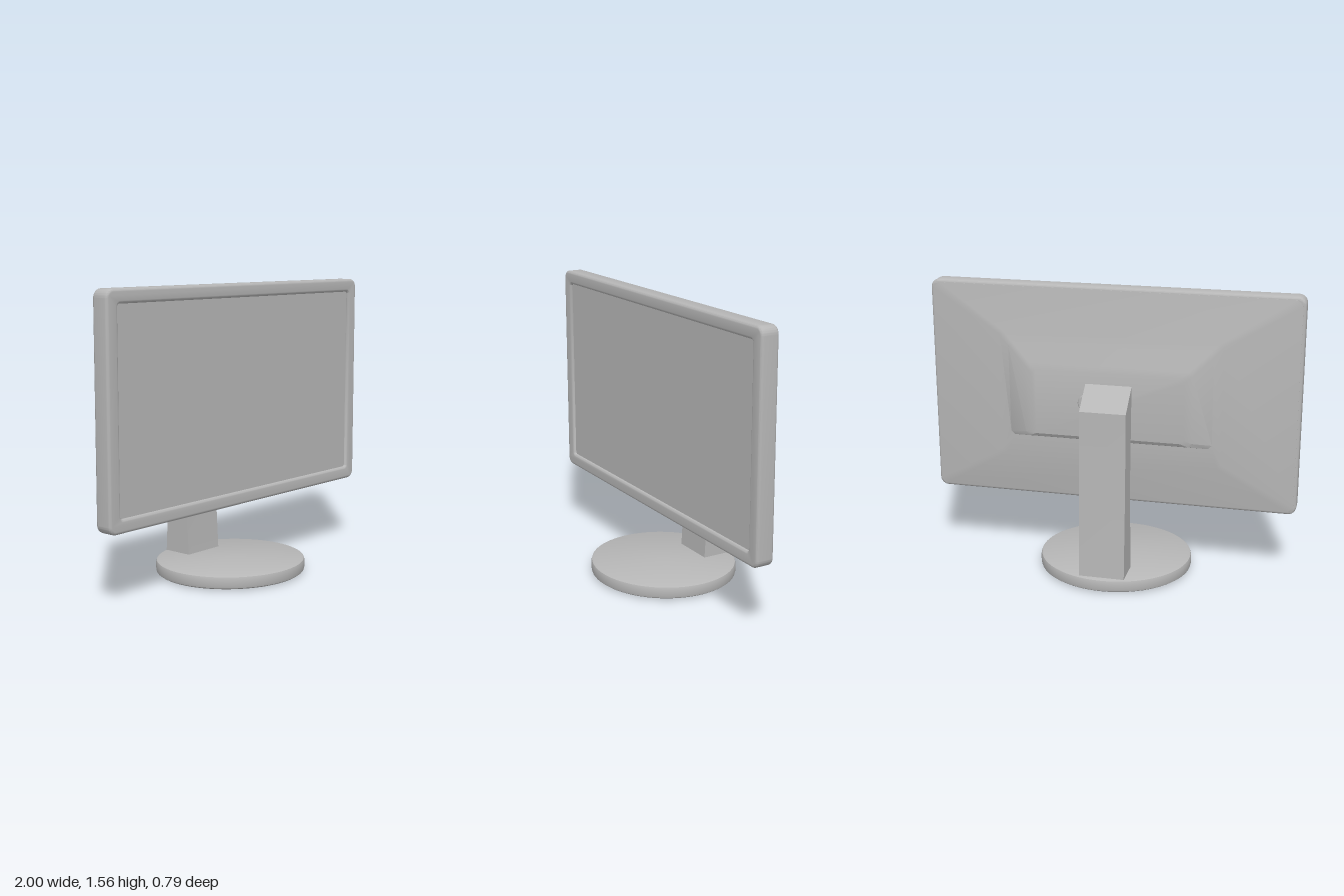
import * as THREE from 'three';
import { toCreasedNormals } from 'three/addons/utils/BufferGeometryUtils.js';

const grey = new THREE.MeshStandardMaterial({ color: 0xb6b6b6 });
grey.name = 'plain grey';

function part(name, geometry, crease = 0.6) {
  const mesh = new THREE.Mesh(toCreasedNormals(geometry, crease), grey);
  mesh.name = name;
  return mesh;
}

// Rounded rectangle centred on the origin
function roundedRect(Type, w, h, r) {
  const s = new Type(), x = w / 2, y = h / 2;
  s.moveTo(-x + r, -y);
  s.lineTo(x - r, -y);
  s.absarc(x - r, -y + r, r, -Math.PI / 2, 0);
  s.lineTo(x, y - r);
  s.absarc(x - r, y - r, r, 0, Math.PI / 2);
  s.lineTo(-x + r, y);
  s.absarc(-x + r, y - r, r, Math.PI / 2, Math.PI);
  s.lineTo(-x, -y + r);
  s.absarc(-x + r, -y + r, r, Math.PI, Math.PI * 1.5);
  return s;
}

// Bezel with a softly rounded rim around the screen opening
function bezelGeometry() {
  const b = 0.015;
  const shape = roundedRect(THREE.Shape, 2 - 2 * b, 1.18 - 2 * b, 0.03);
  shape.holes.push(roundedRect(THREE.Path, 1.85 + 2 * b, 1.035 + 2 * b, 0.03));
  const g = new THREE.ExtrudeGeometry(shape, {
    depth: 0.1 - 2 * b, bevelThickness: b, bevelSize: b, bevelSegments: 4, curveSegments: 6,
  });
  return g.translate(0, 0.97, -0.01 + b);
}

// Stepped back cover lofted through cut-corner rectangles
function backGeometry() {
  // half width, bottom, top, z at bottom, z at top, corner cut
  const rings = [
    [0.985, 0.395, 1.545, 0.0, 0.0, 0.03],
    [0.985, 0.395, 1.545, -0.012, -0.012, 0.03],
    [0.60, 0.63, 1.31, -0.066, -0.07, 0.02],
    [0.55, 0.738, 1.26, -0.07, -0.085, 0.02],
    [0.45, 0.757, 1.165, -0.12, -0.12, 0.02],
    [0.41, 0.775, 1.13, -0.131, -0.131, 0.02],
  ];
  const pos = [], index = [], n = 8;
  for (const [x, y0, y1, z0, z1, c] of rings) {
    const loop = [[x - c, y0], [x, y0 + c], [x, y1 - c], [x - c, y1],
      [-x + c, y1], [-x, y1 - c], [-x, y0 + c], [-x + c, y0]];
    loop.forEach(([px, py], i) => pos.push(px, py, i > 1 && i < 6 ? z1 : z0));
  }
  for (let r = 0; r < rings.length - 1; r++) {
    for (let i = 0; i < n; i++) {
      const a = r * n + i, b = r * n + (i + 1) % n;
      index.push(a, a + n, b, b, a + n, b + n);
    }
  }
  const last = (rings.length - 1) * n;
  for (let i = 1; i < n - 1; i++) index.push(last, last + i + 1, last + i);
  const g = new THREE.BufferGeometry();
  g.setAttribute('position', new THREE.Float32BufferAttribute(pos, 3));
  g.setIndex(index);
  return g;
}

// Slanted-top column: side profile (z, y) extruded across x
function columnGeometry() {
  const profile = [[-0.195, 0.06], [-0.222, 0.53], [-0.195, 1.09],
    [-0.33, 0.98], [-0.34, 0.53], [-0.365, 0.06]];
  const shape = new THREE.Shape(profile.map(([z, y]) => new THREE.Vector2(-z, y)));
  const g = new THREE.ExtrudeGeometry(shape, { depth: 0.245, bevelEnabled: false });
  return g.rotateY(Math.PI / 2).translate(-0.145, 0, 0);
}

// Oval base with softened edges and a thin foot pad
function baseGeometry() {
  const profile = [[0, 0], [0.34, 0], [0.345, 0.005], [0.405, 0.005], [0.415, 0.012],
    [0.418, 0.024], [0.418, 0.058], [0.414, 0.07], [0.404, 0.075], [0, 0.075]];
  const g = new THREE.LatheGeometry(profile.map(([x, y]) => new THREE.Vector2(x, y)), 64);
  return g.scale(1, 1, 0.395 / 0.418).translate(-0.02, 0, 0);
}

export function createModel() {
  const model = new THREE.Group();
  model.name = 'desktopMonitor';

  const display = new THREE.Group();
  display.name = 'display';
  display.add(part('bezel', bezelGeometry()));
  display.add(part('screen', new THREE.BoxGeometry(1.9, 1.09, 0.07).translate(0, 0.972, 0.04)));
  display.add(part('backCover', backGeometry(), 0.35));

  // Small round boss on the back
  const boss = new THREE.CylinderGeometry(0.045, 0.055, 0.02, 20);
  boss.rotateX(-Math.PI / 2).translate(0.108, 0.962, -0.134);
  display.add(part('backBoss', boss));

  const stand = new THREE.Group();
  stand.name = 'stand';
  stand.add(part('column', columnGeometry(), 0.2));
  stand.add(part('base', baseGeometry()));

  model.add(display, stand);
  return model;
}
